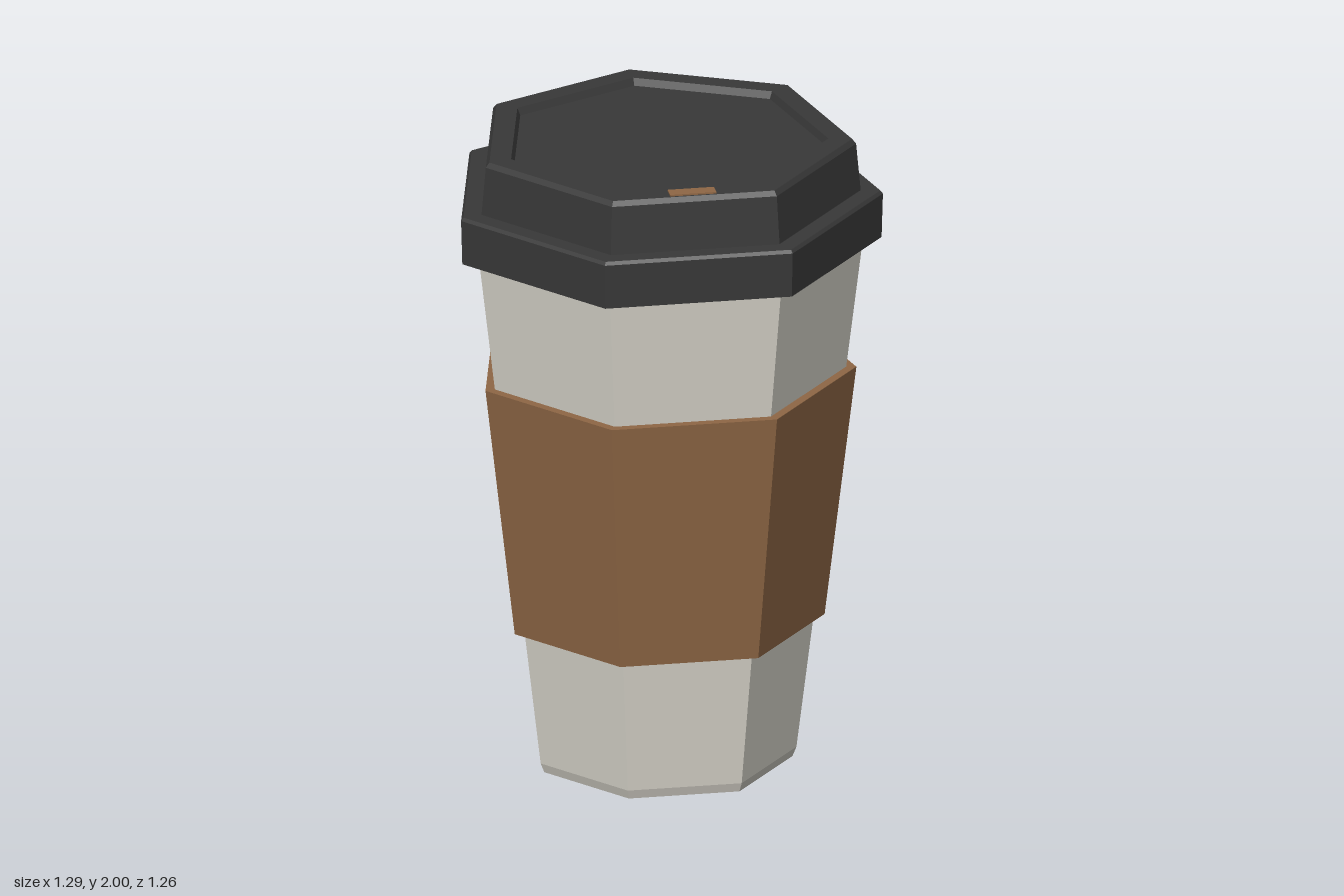
import * as THREE from 'three';

const SIDES = 7;
const AXIS_Z = 0.033; // shifts the heptagon so its bounds are centred

const paint = (name, color) => {
  const m = new THREE.MeshStandardMaterial({ color });
  m.name = name;
  return m;
};

// Seven-sided faceted solid from a [radius, y] profile, running bottom to top
function facetedTurn(name, profile, material) {
  const points = profile.map(([r, y]) => new THREE.Vector2(r, y));
  const geometry = new THREE.LatheGeometry(points, SIDES, Math.PI).toNonIndexed();
  geometry.computeVertexNormals();
  const mesh = new THREE.Mesh(geometry, material);
  mesh.name = name;
  mesh.position.z = AXIS_Z;
  return mesh;
}

export function createModel() {
  const paper = paint('paper cream', 0xd8d5cb);
  const cardboard = paint('cardboard brown', 0x8f6745);
  const plastic = paint('lid charcoal', 0x383838);

  const group = new THREE.Group();
  group.name = 'takeawayCup';

  // Tapered cup with a small bevel at the foot
  group.add(facetedTurn('cup', [
    [0, 0], [0.39, 0], [0.402, 0.03], [0.606, 1.7], [0, 1.7],
  ], paper));

  // Cardboard sleeve with open rims standing off the cup
  group.add(facetedTurn('sleeve', [
    [0.45, 0.46], [0.487, 0.46], [0.583, 1.26], [0.548, 1.26],
  ], cardboard));

  // Lid: wide rim, raised crown and a shallow recess on top
  group.add(facetedTurn('lid', [
    [0, 1.68], [0.659, 1.68], [0.663, 1.82], [0.655, 1.83],
    [0.596, 1.83], [0.582, 1.98], [0.57, 1.995],
    [0.499, 1.995], [0.489, 1.973], [0, 1.973],
  ], plastic));

  // Sip opening marker on the front of the crown
  const sip = new THREE.Mesh(new THREE.BoxGeometry(0.142, 0.008, 0.045), cardboard);
  sip.name = 'sipOpening';
  sip.position.set(0, 1.996, 0.518);
  group.add(sip);

  return group;
}
